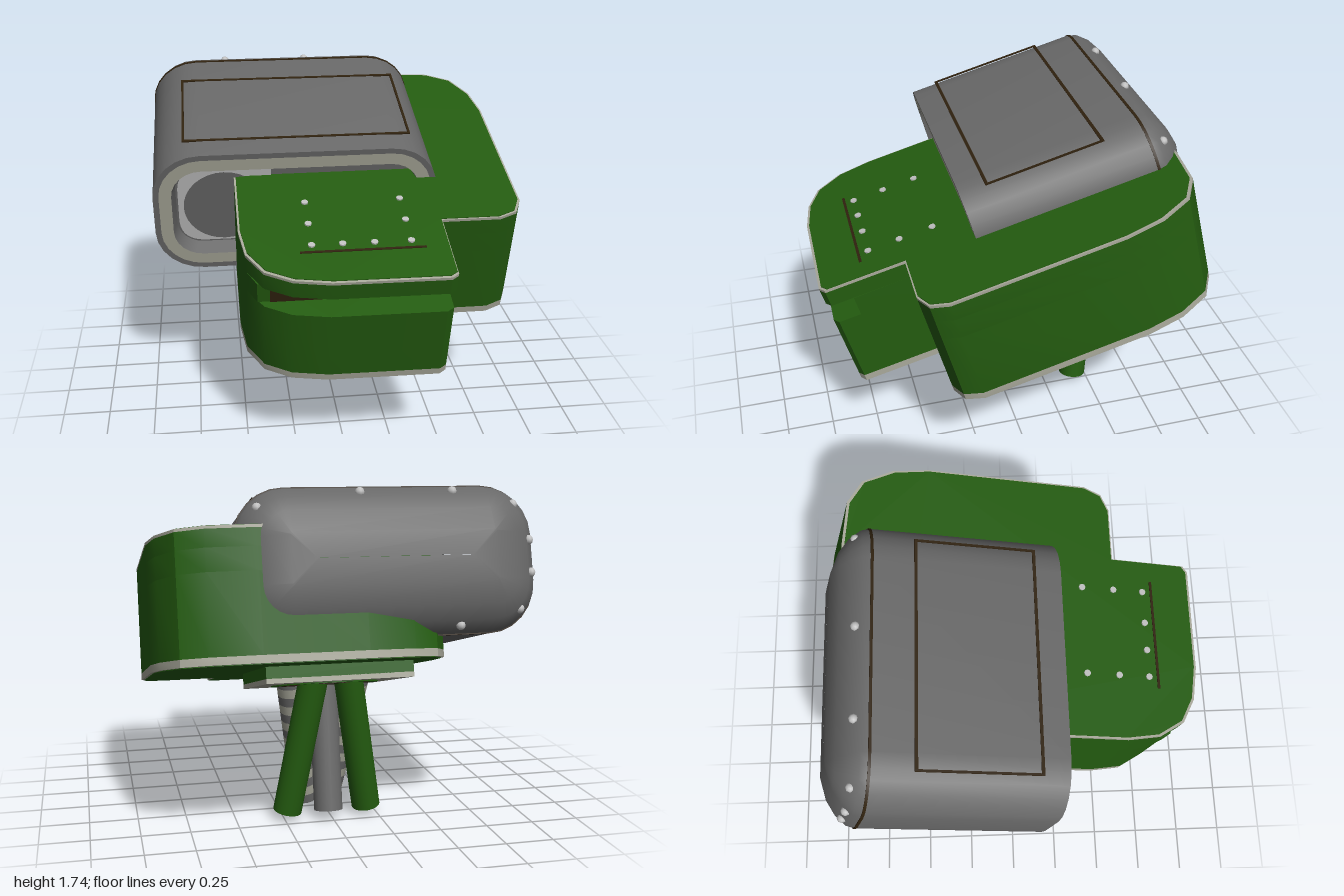
import * as THREE from 'three';
import { toCreasedNormals } from 'three/addons/utils/BufferGeometryUtils.js';

function flat(name, color) {
  const m = new THREE.MeshStandardMaterial({ color });
  m.name = name;
  return m;
}

// Body outline as [x, z], and the same outline cut back behind the front slot
const RIGHT_SIDE = [[0.5, 0.508], [0.8, 0.508], [0.89, 0.467], [0.93, 0.374], [0.93, -0.5],
  [0.9, -0.69], [0.82, -0.85], [0.69, -0.925], [0.45, -0.947], [-0.05, -0.947],
  [-0.28, -0.92], [-0.41, -0.85], [-0.49, -0.71], [-0.515, -0.53], [-0.515, 0.53], [-0.49, 0.705]];
const OUTLINE = [[-0.41, 0.84], [-0.28, 0.91], [-0.1, 0.94], [0.46, 0.945], [0.495, 0.92], ...RIGHT_SIDE];
const SLOT_OUTLINE = [[-0.44, 0.805], [0.5, 0.805], ...RIGHT_SIDE];

// Horizontal slab from y0 to y1; scale pulls the outline in about the body centre
function slab(points, y0, y1, scale = 1) {
  const cx = 0.2;
  const shape = new THREE.Shape(points.map(([x, z]) =>
    new THREE.Vector2(cx + (x - cx) * scale, -z * scale)));
  const g = new THREE.ExtrudeGeometry(shape, { depth: y1 - y0, bevelEnabled: false });
  g.rotateX(-Math.PI / 2).translate(0, y0, 0);
  return toCreasedNormals(g, 0.55);
}

// Pod dimensions
const HALF_W = 0.74, HALF_H = 0.3625, RADIUS = 0.25, STEPS = 6;

// Rounded rectangle ring, counter-clockwise seen from the front
function ring(z, inset) {
  const r = Math.max(RADIUS - inset, 0.002);
  const w = HALF_W - inset - r, h = HALF_H - inset - r, pts = [];
  [[1, 1], [-1, 1], [-1, -1], [1, -1]].forEach(([sx, sy], k) => {
    for (let i = 0; i <= STEPS; i++) {
      const a = (k + i / STEPS) * Math.PI / 2;
      pts.push([sx * w + r * Math.cos(a), sy * h + r * Math.sin(a), z]);
    }
  });
  return pts;
}

// Skin through rings given as [z, inset]
function loft(sections) {
  const rings = sections.map(([z, inset]) => ring(z, inset));
  const n = rings[0].length, pos = [], index = [];
  rings.forEach(r => r.forEach(p => pos.push(...p)));
  for (let s = 0; s < rings.length - 1; s++) {
    for (let i = 0; i < n; i++) {
      const j = (i + 1) % n, a = s * n + i, b = s * n + j, c = b + n, d = a + n;
      index.push(a, b, c, a, c, d);
    }
  }
  const g = new THREE.BufferGeometry();
  g.setAttribute('position', new THREE.Float32BufferAttribute(pos, 3));
  g.setIndex(index);
  return toCreasedNormals(g, 0.6);
}

export function createModel() {
  const green = flat('green', 0x245c10);
  const grey = flat('grey', 0x696969);
  const beige = flat('beige grey', 0xa9a99b);
  const light = flat('light grey', 0xc0c0c0);
  const dark = flat('dark brown', 0x30220f);

  const model = new THREE.Group();
  model.name = 'model';
  const add = (parent, name, geometry, material, x = 0, y = 0, z = 0) => {
    const m = new THREE.Mesh(geometry, material);
    m.name = name;
    m.position.set(x, y, z);
    parent.add(m);
    return m;
  };

  // Everything above the legs tips forward
  const head = new THREE.Group();
  head.name = 'tiltedHead';
  head.position.set(0, 0.72, -0.075);
  head.rotation.x = Math.PI / 12;
  model.add(head);

  // Body, stacked in layers around the front slot
  const body = new THREE.Group();
  body.name = 'body';
  head.add(body);
  add(body, 'underside', slab(OUTLINE, -0.004, 0, 0.98), green);
  add(body, 'bottomTrim', slab(OUTLINE, 0, 0.037), beige);
  add(body, 'lowerBody', slab(OUTLINE, 0.037, 0.423), green);
  add(body, 'slotBody', slab(SLOT_OUTLINE, 0.423, 0.535), green);
  add(body, 'upperBody', slab(OUTLINE, 0.535, 0.621), green);
  add(body, 'topTrim', slab(OUTLINE, 0.621, 0.635), beige);
  add(body, 'topPlate', slab(OUTLINE, 0.635, 0.639, 0.986), green);

  // Slot lining
  add(body, 'slotOpening', new THREE.BoxGeometry(0.79, 0.11, 0.008), dark, 0.015, 0.479, 0.808);
  add(body, 'slotStrip', new THREE.BoxGeometry(0.5, 0.012, 0.008), light, -0.03, 0.485, 0.813);

  // Rivets and a groove on the top plate
  const rivet = new THREE.CylinderGeometry(0.018, 0.018, 0.012, 8);
  [[-0.17, 0.322], [-0.17, 0.498], [-0.17, 0.664], [-0.02, 0.664], [0.135, 0.664],
    [0.315, 0.664], [0.315, 0.498], [0.315, 0.322]].forEach(([x, z]) =>
    add(body, 'rivet', rivet, light, x, 0.641, z));
  add(body, 'topGroove', new THREE.BoxGeometry(0.61, 0.006, 0.014), dark, 0.075, 0.639, 0.715);

  // Pod with a rounded rear cap and a recessed front
  const pod = new THREE.Group();
  pod.name = 'pod';
  pod.position.set(-0.195, 0.4645, 0);
  head.add(pod);
  add(pod, 'podShell', loft([[-0.995, 0.362], [-0.995, 0.24], [-0.96, 0.13], [-0.915, 0.06],
    [-0.86, 0.012], [-0.815, 0], [0.145, 0], [0.145, 0.03]]), grey);
  add(pod, 'podRim', loft([[0.145, 0.03], [0.145, 0.095]]), beige);
  add(pod, 'podRecess', loft([[0.145, 0.095], [0.06, 0.115], [0.06, 0.362]]), grey);
  add(pod, 'capSeam', loft([[-0.824, 0.004], [-0.824, -0.003], [-0.81, -0.003], [-0.81, 0.004]]), dark);

  // Lamp in the recess: light plate with a grey disc
  const plate = new THREE.Shape();
  plate.moveTo(-0.125, 0.235);
  plate.lineTo(-0.47, 0.235);
  plate.quadraticCurveTo(-0.615, 0.235, -0.615, 0.09);
  plate.lineTo(-0.615, -0.09);
  plate.quadraticCurveTo(-0.615, -0.235, -0.47, -0.235);
  plate.lineTo(-0.125, -0.235);
  add(pod, 'lampPlate', new THREE.ShapeGeometry(plate), light, 0, 0, 0.066);
  add(pod, 'lampDisc', new THREE.CircleGeometry(0.215, 32), grey, -0.372, -0.008, 0.071);

  // Hatch line on top of the pod
  for (const s of [-1, 1]) {
    add(pod, 'hatchLine', new THREE.BoxGeometry(1.18, 0.006, 0.016), dark, 0.015, HALF_H, -0.3 + s * 0.303);
    add(pod, 'hatchLine', new THREE.BoxGeometry(0.012, 0.006, 0.62), dark, 0.015 + s * 0.585, HALF_H, -0.3);
  }

  // Bolts around the rear cap
  const bolt = new THREE.SphereGeometry(0.024, 8, 6);
  for (const s of [-1, 1]) {
    for (const x of [-0.325, 0.135]) add(pod, 'capBolt', bolt, light, x, s * 0.325, -0.89);
    for (const t of [-1, 1]) {
      add(pod, 'capBolt', bolt, light, s * 0.632, t * 0.256, -0.89);
      add(pod, 'capBolt', bolt, light, s * 0.703, t * 0.08, -0.89);
    }
  }

  // Mounting block under the body
  const mount = new THREE.Group();
  mount.name = 'mount';
  mount.position.set(0.02, 0, -0.272);
  head.add(mount);
  add(mount, 'mountBlock', new THREE.BoxGeometry(0.745, 0.065, 0.745), green, 0, -0.03, 0);
  add(mount, 'mountPlate', new THREE.BoxGeometry(0.745, 0.026, 0.745), beige, 0, -0.074, 0);
  add(mount, 'mountRing', new THREE.CylinderGeometry(0.28, 0.28, 0.008, 32), green, 0, -0.089, 0);
  add(mount, 'mountHole', new THREE.CylinderGeometry(0.23, 0.23, 0.008, 32), dark, 0, -0.092, 0);

  // Legs: cylinders between two points, optionally banded
  const up = new THREE.Vector3(0, 1, 0);
  function leg(name, from, to, bands) {
    const a = new THREE.Vector3(...from), dir = new THREE.Vector3(...to).sub(a);
    const length = dir.length(), g = new THREE.Group();
    g.name = name;
    g.position.copy(a);
    g.quaternion.setFromUnitVectors(up, dir.normalize());
    const h = length / bands.count;
    for (let i = 0; i < bands.count; i++) {
      add(g, name + 'Section', new THREE.CylinderGeometry(0.075, 0.075, h, 20),
        bands.materials[i % bands.materials.length], 0, (i + 0.5) * h, 0);
    }
    model.add(g);
  }
  for (const s of [-1, 1]) {
    leg('stripedLeg', [0.02 + s * 0.06, 0.021, -0.145], [0.02 + s * 0.18, 0.75, -0.325],
      { count: 15, materials: [grey, beige] });
    leg('greenLeg', [0.02 + s * 0.213, 0.045, -0.415], [0.02 + s * 0.085, 0.8, -0.5],
      { count: 1, materials: [green] });
  }
  leg('greyLeg', [0.02, 0.045, -0.45], [0.02, 0.75, -0.31], { count: 1, materials: [grey] });

  return model;
}
